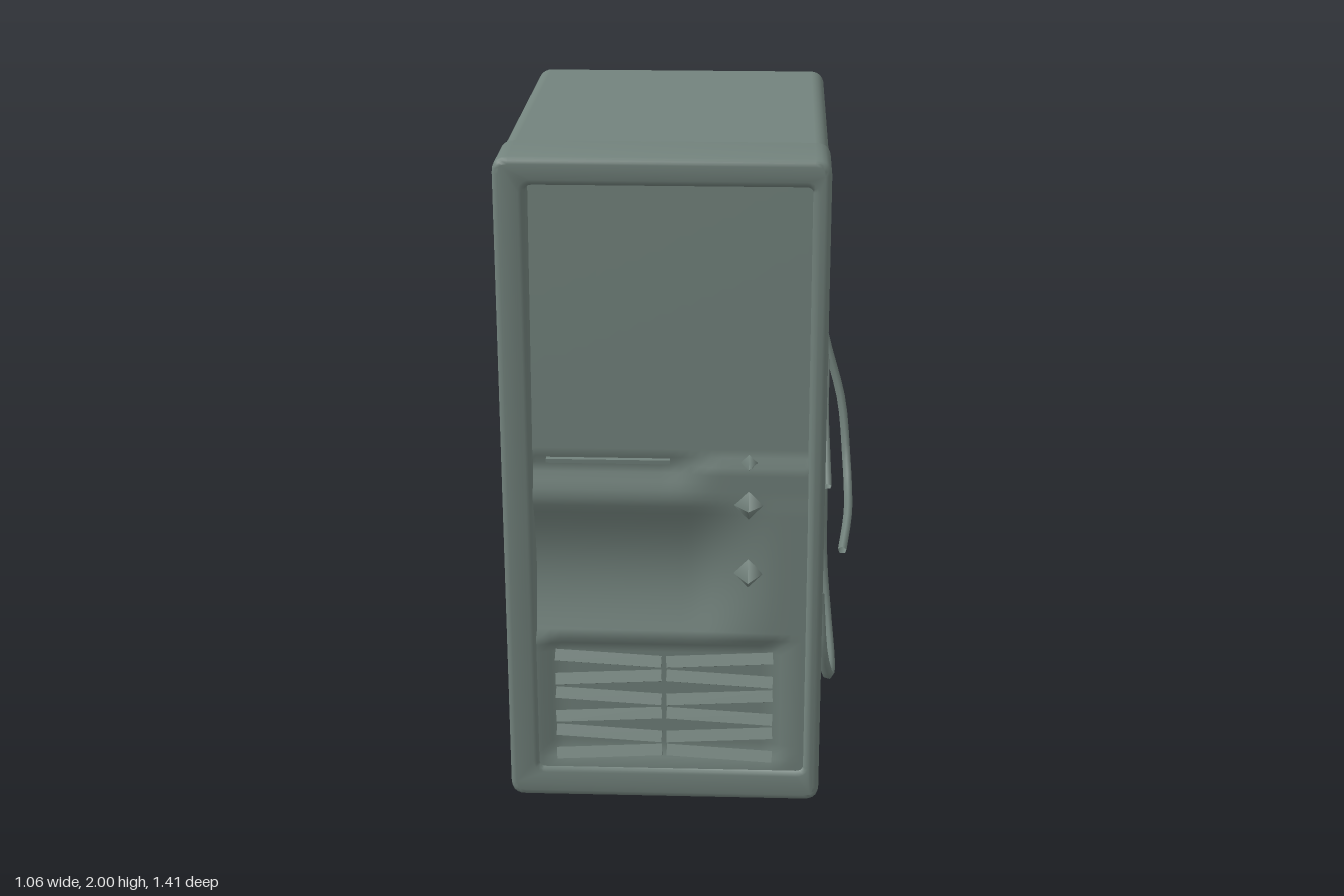
import * as THREE from 'three';
import { toCreasedNormals } from 'three/addons/utils/BufferGeometryUtils.js';
import { RoundedBoxGeometry } from 'three/addons/geometries/RoundedBoxGeometry.js';

const casing = new THREE.MeshStandardMaterial({ color: 0x73837d });
casing.name = 'grey green casing';
casing.side = THREE.DoubleSide;

function add(parent, name, geometry, x = 0, y = 0, z = 0) {
  const mesh = new THREE.Mesh(geometry, casing);
  mesh.name = name;
  mesh.position.set(x, y, z);
  parent.add(mesh);
  return mesh;
}

// Rounded rectangle between two corners
function roundRect(path, x0, y0, x1, y1, r) {
  path.moveTo(x0 + r, y0);
  path.lineTo(x1 - r, y0);
  path.quadraticCurveTo(x1, y0, x1, y0 + r);
  path.lineTo(x1, y1 - r);
  path.quadraticCurveTo(x1, y1, x1 - r, y1);
  path.lineTo(x0 + r, y1);
  path.quadraticCurveTo(x0, y1, x0, y1 - r);
  path.lineTo(x0, y0 + r);
  path.quadraticCurveTo(x0, y0, x0 + r, y0);
  return path;
}

// Depth of the front panel behind the bezel at a given place
function panelDepth(x, y) {
  const s = THREE.MathUtils.smoothstep;
  if (y > 1.1) {
    const t = (y - 1.1) / 0.82;
    return 0.025 + 0.055 * t;
  }
  if (y > 0.98) return 0.01 + 0.03 * s(y, 0.98, 1.1) * (1 - s(x, -0.05, 0.1));
  if (y > 0.53) {
    const across = 1 - s(x, 0.02, 0.28);
    return 0.008 + 0.055 * Math.sin(Math.PI * (y - 0.53) / 0.45) * across;
  }
  return 0.008 + 0.02 * s(x, -0.44, -0.38) * (1 - s(x, 0.26, 0.32)) * s(y, 0.1, 0.16);
}

function frontPanel() {
  const geometry = new THREE.PlaneGeometry(0.84, 1.86, 28, 74);
  geometry.translate(-0.04, 1.01, 0);
  const p = geometry.attributes.position;
  for (let i = 0; i < p.count; i++) p.setZ(i, 0.648 - panelDepth(p.getX(i), p.getY(i)));
  geometry.computeVertexNormals();
  return geometry;
}

function cable(parent, name, points, radius) {
  const curve = new THREE.CatmullRomCurve3(points.map(p => new THREE.Vector3(...p)), false, 'centripetal');
  add(parent, name, new THREE.TubeGeometry(curve, points.length * 3, radius, 5));
}

export function createModel() {
  const model = new THREE.Group();
  model.name = 'computerTower';

  // Main case
  add(model, 'caseBody', new RoundedBoxGeometry(0.93, 1.99, 1.09, 4, 0.04), -0.06, 1.0, -0.065);

  // Front bezel with its opening
  const outline = roundRect(new THREE.Shape(), -0.53, 0, 0.41, 2, 0.045);
  outline.holes.push(roundRect(new THREE.Path(), -0.44, 0.1, 0.36, 1.92, 0.02));
  const bezel = new THREE.ExtrudeGeometry(outline, {
    depth: 0.19, bevelEnabled: true, bevelSize: 0.018, bevelThickness: 0.018,
    bevelOffset: -0.018, bevelSegments: 3, curveSegments: 5,
  });
  add(model, 'frontBezel', toCreasedNormals(bezel, 0.7), 0, 0, 0.442);
  add(model, 'frontPanel', frontPanel());

  // Ledge below the drive bay
  add(model, 'bayLedge', new THREE.BoxGeometry(0.36, 0.012, 0.03), -0.22, 1.1, 0.622);

  // Two columns of tilted vent slats
  const vents = new THREE.Group();
  vents.name = 'ventSlats';
  for (let row = 0; row < 6; row++) {
    for (const side of [-1, 1]) {
      const slat = add(vents, 'ventSlat', new THREE.BoxGeometry(0.32, 0.035, 0.01),
        -0.06 + side * 0.167, 0.15 + row * 0.063, 0.634);
      slat.rotation.set(-0.5, 0, side * (row % 2 ? 0.05 : -0.05));
    }
  }
  model.add(vents);

  // Controls on the front strip
  for (const [y, r, z] of [[1.1, 0.025, 0.04], [0.97, 0.05, 0.04], [0.75, 0.045, 0.055]]) {
    const button = add(model, 'frontButton', new THREE.ConeGeometry(r, z + 0.02, 4), 0.19, y, 0.64 + z / 2);
    button.rotation.x = Math.PI / 2;
  }

  // Raised rear power panel
  add(model, 'rearPanel', new RoundedBoxGeometry(0.78, 0.24, 0.04, 2, 0.012), -0.02, 1.75, -0.606);

  // Cables from the back, around the left side
  const cables = new THREE.Group();
  cables.name = 'cables';
  cable(cables, 'outerCable', [
    [-0.02, 1.64, -0.62], [0.18, 1.57, -0.665], [0.3, 1.43, -0.69], [0.38, 1.25, -0.67],
    [0.44, 1.03, -0.635], [0.49, 0.85, -0.6], [0.51, 0.66, -0.52], [0.515, 0.58, -0.42],
    [0.51, 0.55, -0.27], [0.49, 0.5, -0.11],
  ], 0.015);
  cable(cables, 'innerCable', [
    [0.1, 1.68, -0.62], [0.24, 1.5, -0.645], [0.33, 1.36, -0.65], [0.39, 1.2, -0.66],
    [0.43, 1.0, -0.615], [0.43, 0.85, -0.5], [0.435, 0.75, -0.4], [0.44, 0.66, -0.27],
  ], 0.016);
  cable(cables, 'hangingCable', [
    [0.42, 0.76, -0.42], [0.425, 0.64, -0.36], [0.43, 0.36, -0.335], [0.445, 0.2, -0.25],
    [0.455, 0.12, -0.13], [0.455, 0.11, -0.02], [0.445, 0.15, 0.09], [0.425, 0.25, 0.14],
    [0.41, 0.45, 0.12],
  ], 0.018);
  model.add(cables);

  return model;
}
